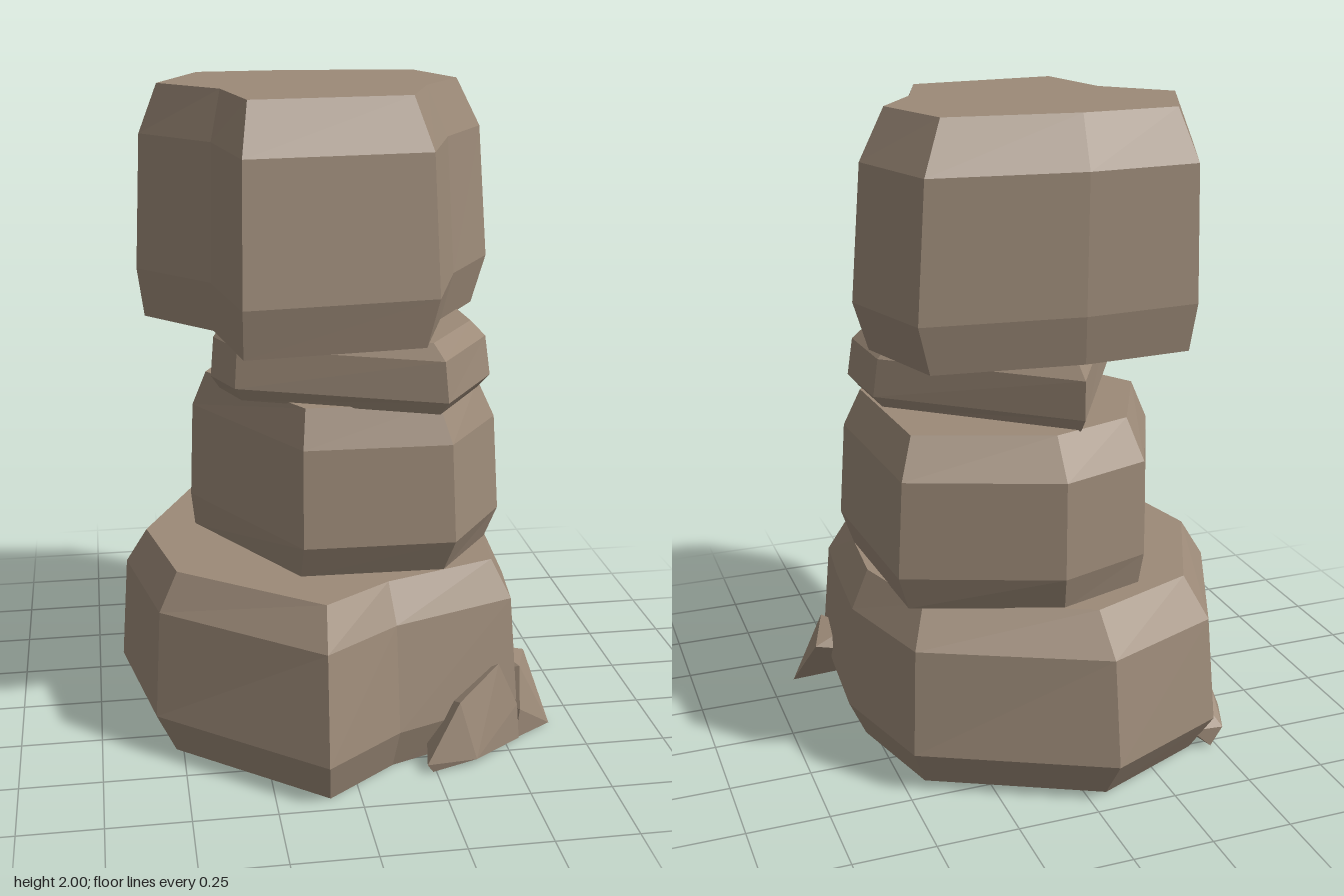
import * as THREE from 'three';
import { ConvexGeometry } from 'three/addons/geometries/ConvexGeometry.js';

const stone = new THREE.MeshStandardMaterial({ color: 0x9c8a78, side: THREE.DoubleSide });
stone.name = 'brown stone';

// Faceted boulder: a plan outline [x, z] lofted through rings [y, scaleX, scaleZ, shiftX, shiftZ]
function boulder(name, plan, rings, openBottom = false) {
  const pos = [];
  const n = plan.length;
  const last = rings.length - 1;
  const at = (r, i) => {
    const [y, sx, sz, dx, dz] = rings[r];
    const [x, z] = plan[i % n];
    return [x * sx + dx, y, z * sz + dz];
  };
  const tri = (a, b, c) => pos.push(...a, ...b, ...c);
  for (let i = 0; i < n; i++) {
    for (let r = 0; r < last; r++) {
      tri(at(r, i), at(r, i + 1), at(r + 1, i + 1));
      tri(at(r, i), at(r + 1, i + 1), at(r + 1, i));
    }
    tri([0, rings[last][0], 0], at(last, i), at(last, i + 1));
    if (!openBottom) tri([0, rings[0][0], 0], at(0, i + 1), at(0, i));
  }
  const geo = new THREE.BufferGeometry();
  geo.setAttribute('position', new THREE.Float32BufferAttribute(pos, 3));
  geo.computeVertexNormals();
  return makeMesh(name, geo);
}

// Small angular chip wrapped around a few corners
function chip(name, corners) {
  return makeMesh(name, new ConvexGeometry(corners.map((c) => new THREE.Vector3(...c))));
}

function makeMesh(name, geo) {
  const mesh = new THREE.Mesh(geo, stone);
  mesh.name = name;
  return mesh;
}

export function createModel() {
  const model = new THREE.Group();
  model.name = 'stackedRocks';

  // Wide base rock, a shell open underneath
  model.add(boulder('baseRock',
    [[-0.10, 0.745], [0.14, 0.57], [0.54, 0.42], [0.565, 0.20], [0.585, -0.10],
      [0.48, -0.47], [-0.07, -0.745], [-0.46, -0.58], [-0.67, -0.09], [-0.58, 0.36]],
    [[0, 0.90, 0.906, 0, 0.015], [0.13, 1, 1, 0, 0],
      [0.46, 0.965, 0.926, 0, -0.01], [0.575, 0.865, 0.79, 0, 0]], true));

  // Middle rock
  model.add(boulder('middleRock',
    [[-0.13, 0.42], [0.33, 0.43], [0.525, 0.165], [0.495, -0.40],
      [0.04, -0.575], [-0.25, -0.48], [-0.43, -0.10]],
    [[0.57, 0.95, 0.915, -0.01, -0.01], [0.68, 1, 1, 0, 0],
      [0.98, 0.97, 0.97, 0, -0.015], [1.095, 0.87, 0.826, 0, -0.005]]));

  // Thin neck slab
  model.add(boulder('neckRock',
    [[-0.31, 0.23], [0.29, 0.465], [0.48, 0.19], [0.465, -0.06],
      [-0.05, -0.485], [-0.37, 0.08]],
    [[1.09, 0.93, 0.95, 0, 0], [1.13, 1, 1, 0, 0],
      [1.25, 0.97, 0.98, 0, -0.01], [1.295, 0.88, 0.88, 0, -0.01]]));

  // Large top rock with a notch at each front corner
  model.add(boulder('topRock',
    [[-0.31, 0.52], [0.26, 0.46], [0.37, 0.14], [0.53, -0.10], [0.43, -0.43],
      [-0.05, -0.485], [-0.41, -0.46], [-0.58, -0.07], [-0.37, 0.16]],
    [[1.29, 0.94, 0.935, -0.015, 0], [1.44, 1, 1, 0, 0],
      [1.85, 0.955, 0.96, -0.005, -0.02], [2, 0.83, 0.805, -0.02, -0.017]]));

  // Broken chips around the foot, reaching inside the base
  model.add(chip('frontChip',
    [[0.24, 0, 0.59], [0.22, 0.03, 0.60], [0.38, 0.02, 0.57], [0.33, 0.20, 0.54],
      [0.47, 0.275, 0.45], [0.54, 0.12, 0.43], [0.55, 0, 0.43], [0.28, 0.10, 0.28]]));
  model.add(chip('sideChip',
    [[0.55, 0.10, 0.43], [0.54, 0, 0.43], [0.67, 0, 0.35], [0.62, 0.19, 0.20],
      [0.56, 0.22, 0.37], [0.50, 0.23, 0.23], [0.28, 0.10, 0.20]]));
  model.add(chip('backChip',
    [[-0.52, 0.06, -0.53], [-0.48, 0, -0.53], [-0.40, 0.08, -0.55], [-0.555, 0.08, -0.43],
      [-0.54, 0.14, -0.40], [-0.50, 0.02, -0.25], [-0.42, 0.22, -0.38], [-0.28, 0.10, -0.22]]));

  return model;
}
